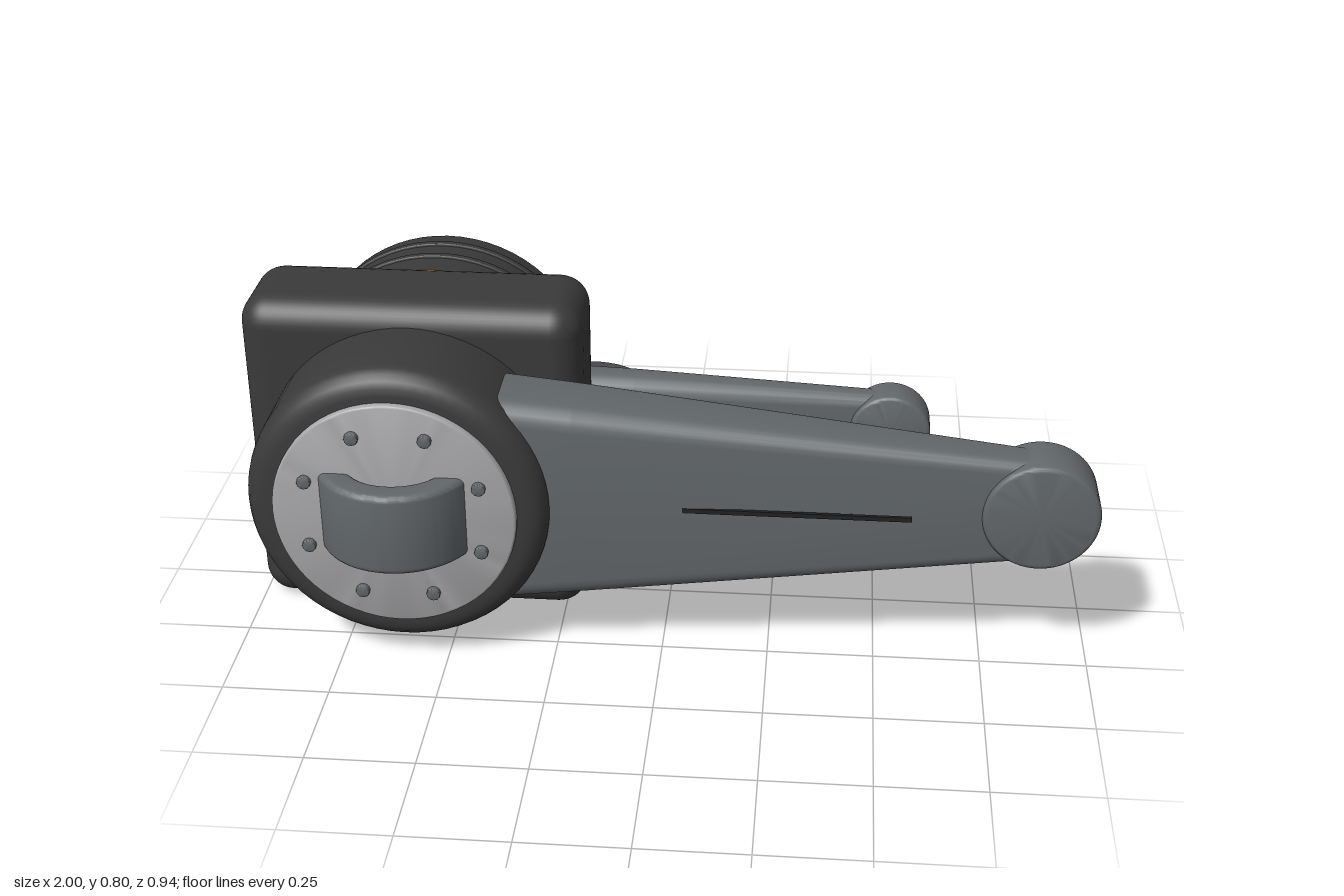
import * as THREE from 'three';
import { toCreasedNormals } from 'three/addons/utils/BufferGeometryUtils.js';
import { RoundedBoxGeometry } from 'three/addons/geometries/RoundedBoxGeometry.js';

const mat = (name, color) => {
  const m = new THREE.MeshStandardMaterial({ color });
  m.name = name;
  return m;
};

// Disc with rounded rims, axis along z, spanning z0..z1
function drumGeometry(radius, z0, z1, r = 0.01, seg = 64) {
  const pts = [new THREE.Vector2(0, z0)];
  for (const [end, start] of [[z0 + r, -Math.PI / 2], [z1 - r, 0]]) {
    for (let i = 0; i <= 5; i++) {
      const a = start + (i / 5) * Math.PI / 2;
      pts.push(new THREE.Vector2(radius - r + r * Math.cos(a), end + r * Math.sin(a)));
    }
  }
  pts.push(new THREE.Vector2(0, z1));
  return toCreasedNormals(new THREE.LatheGeometry(pts, seg).rotateX(Math.PI / 2), 0.6);
}

// Tapered beam along x; each station is { x, y, z, hy, hz, r } of a rounded rectangle
function beamGeometry(stations) {
  const pos = [], index = [], n = 24;
  for (const s of stations) {
    for (let c = 0; c < 4; c++) {
      const sy = c === 0 || c === 3 ? 1 : -1, sz = c < 2 ? 1 : -1;
      for (let i = 0; i < 6; i++) {
        const a = (c + i / 5) * Math.PI / 2;
        pos.push(s.x, s.y + sy * (s.hy - s.r) + s.r * Math.cos(a), s.z + sz * (s.hz - s.r) + s.r * Math.sin(a));
      }
    }
  }
  for (let k = 0; k < stations.length - 1; k++) {
    for (let i = 0; i < n; i++) {
      const a = k * n + i, b = k * n + (i + 1) % n;
      index.push(a, a + n, b, b, a + n, b + n);
    }
  }
  const last = (stations.length - 1) * n;
  for (let i = 1; i < n - 1; i++) {
    index.push(0, i, i + 1, last, last + i + 1, last + i);
  }
  // Corner arcs run from +y towards +z, so faces are flipped to point outward
  for (let i = 0; i < index.length; i += 3) [index[i + 1], index[i + 2]] = [index[i + 2], index[i + 1]];
  const g = new THREE.BufferGeometry();
  g.setAttribute('position', new THREE.Float32BufferAttribute(pos, 3));
  g.setIndex(index);
  // Make sure the winding encloses a positive volume
  let volume = 0;
  const v = (i) => new THREE.Vector3(pos[i * 3], pos[i * 3 + 1], pos[i * 3 + 2]);
  for (let i = 0; i < index.length; i += 3) volume += v(index[i]).dot(v(index[i + 1]).cross(v(index[i + 2])));
  if (volume < 0) g.setIndex(index.reverse());
  return toCreasedNormals(g, 0.6);
}

export function createModel() {
  const model = new THREE.Group();
  model.name = 'armJoint';
  const dark = mat('charcoal', 0x3a3a3a);
  const black = mat('black', 0x222222);
  const steel = mat('steelGrey', 0x62676a);
  const light = mat('lightGrey', 0xa6a6a8);
  const orange = mat('orange', 0xe08a34);
  const hubGrey = mat('hubGrey', 0x4c4d4e);
  const add = (name, geometry, material, x = 0, y = 0, z = 0, parent = model) => {
    const m = new THREE.Mesh(geometry, material);
    m.name = name;
    m.position.set(x, y, z);
    parent.add(m);
    return m;
  };
  const CX = -0.6, CY = 0.4;

  // Central block with a drum on each side
  add('block', new RoundedBoxGeometry(0.8, 0.8, 0.275, 5, 0.07), dark, CX, CY, -0.0225);
  add('frontDrum', drumGeometry(0.35, 0.05, 0.352, 0.055), dark, CX, CY);
  add('rearDrum', drumGeometry(0.35, -0.472, -0.1, 0.045), dark, CX, CY);
  add('accentRing', drumGeometry(0.354, -0.216, -0.192, 0.003), orange, CX, CY);
  for (const z of [-0.305, -0.38]) {
    add('rearRib', drumGeometry(0.356, z - 0.01, z + 0.01, 0.004), dark, CX, CY);
  }

  // Front cover plate with a ring of bolts
  add('coverPlate', drumGeometry(0.28, 0.33, 0.369, 0.008), light, CX, CY);
  for (let i = 0; i < 8; i++) {
    const a = (i + 0.5) * Math.PI / 4;
    add('coverBolt', drumGeometry(0.016, 0.36, 0.381, 0.003, 12), steel,
      CX + 0.215 * Math.cos(a), CY + 0.215 * Math.sin(a));
  }

  // Arched grip on the cover plate
  const arch = new THREE.Shape();
  arch.absarc(0, 0, 0.17, 0, Math.PI, false);
  arch.absarc(0, 0, 0.135, Math.PI, 0, true);
  const grip = new THREE.ExtrudeGeometry(arch, {
    depth: 0.17, bevelEnabled: true, bevelSize: 0.015, bevelThickness: 0.015, bevelSegments: 4, curveSegments: 32,
  }).translate(0, 0, -0.085).rotateX(Math.PI / 2);
  add('grip', toCreasedNormals(grip, 0.6), steel, CX, 0.405, 0.287);

  // Long front arm
  const frontArm = new THREE.Group();
  frontArm.name = 'frontArm';
  model.add(frontArm);
  add('frontBeam', beamGeometry([
    { x: -0.6, y: 0.4, z: 0.21, hy: 0.285, hz: 0.105, r: 0.05 },
    { x: -0.2, y: 0.402, z: 0.208, hy: 0.243, hz: 0.099, r: 0.05 },
    { x: 0.84, y: 0.405, z: 0.206, hy: 0.128, hz: 0.053, r: 0.03 },
  ]), steel, 0, 0, 0, frontArm);
  add('frontArmTip', drumGeometry(0.134, 0.139, 0.275, 0.014), steel, 0.862, 0.405, 0, frontArm);
  add('frontTipPad', drumGeometry(0.115, 0.133, 0.141, 0.002), light, 0.862, 0.405, 0, frontArm);
  for (const z of [0.293, 0.119]) {
    add('frontArmSlot', new THREE.BoxGeometry(0.52, 0.011, 0.008), black, 0.31, 0.403, z, frontArm);
  }
  for (const x of [0.13, 0.42]) {
    add('frontArmPin', drumGeometry(0.007, 0.107, 0.16, 0.002, 10), steel, x, 0.403, 0, frontArm);
  }

  // Shorter rear arm
  const rearArm = new THREE.Group();
  rearArm.name = 'rearArm';
  model.add(rearArm);
  add('rearBeam', beamGeometry([
    { x: -0.34, y: 0.402, z: -0.163, hy: 0.128, hz: 0.054, r: 0.045 },
    { x: -0.1, y: 0.402, z: -0.163, hy: 0.12, hz: 0.052, r: 0.043 },
    { x: 0.5, y: 0.402, z: -0.166, hy: 0.088, hz: 0.036, r: 0.028 },
  ]), steel, 0, 0, 0, rearArm);
  add('rearArmTip', drumGeometry(0.098, -0.21, -0.115, 0.012), steel, 0.524, 0.402, 0, rearArm);
  add('rearTipPad', drumGeometry(0.083, -0.215, -0.208, 0.002), light, 0.524, 0.402, 0, rearArm);
  for (const z of [-0.119, -0.213]) {
    add('rearArmSlot', new THREE.BoxGeometry(0.36, 0.009, 0.007), black, 0.16, 0.402, z, rearArm);
  }
  for (const x of [-0.04, 0.19]) {
    add('rearArmPin', drumGeometry(0.006, -0.223, -0.18, 0.002, 10), steel, x, 0.402, 0, rearArm);
  }

  // Horizontal pivot under the root of the rear arm
  const flat = (r, y0, y1) => drumGeometry(r, y0, y1, 0.004, 48).rotateX(-Math.PI / 2);
  add('pivotDisc', flat(0.16, 0.412, 0.47), hubGrey, -0.22, 0, -0.162);
  add('pivotHub', flat(0.114, 0.346, 0.414), steel, -0.22, 0, -0.162);

  return model;
}
